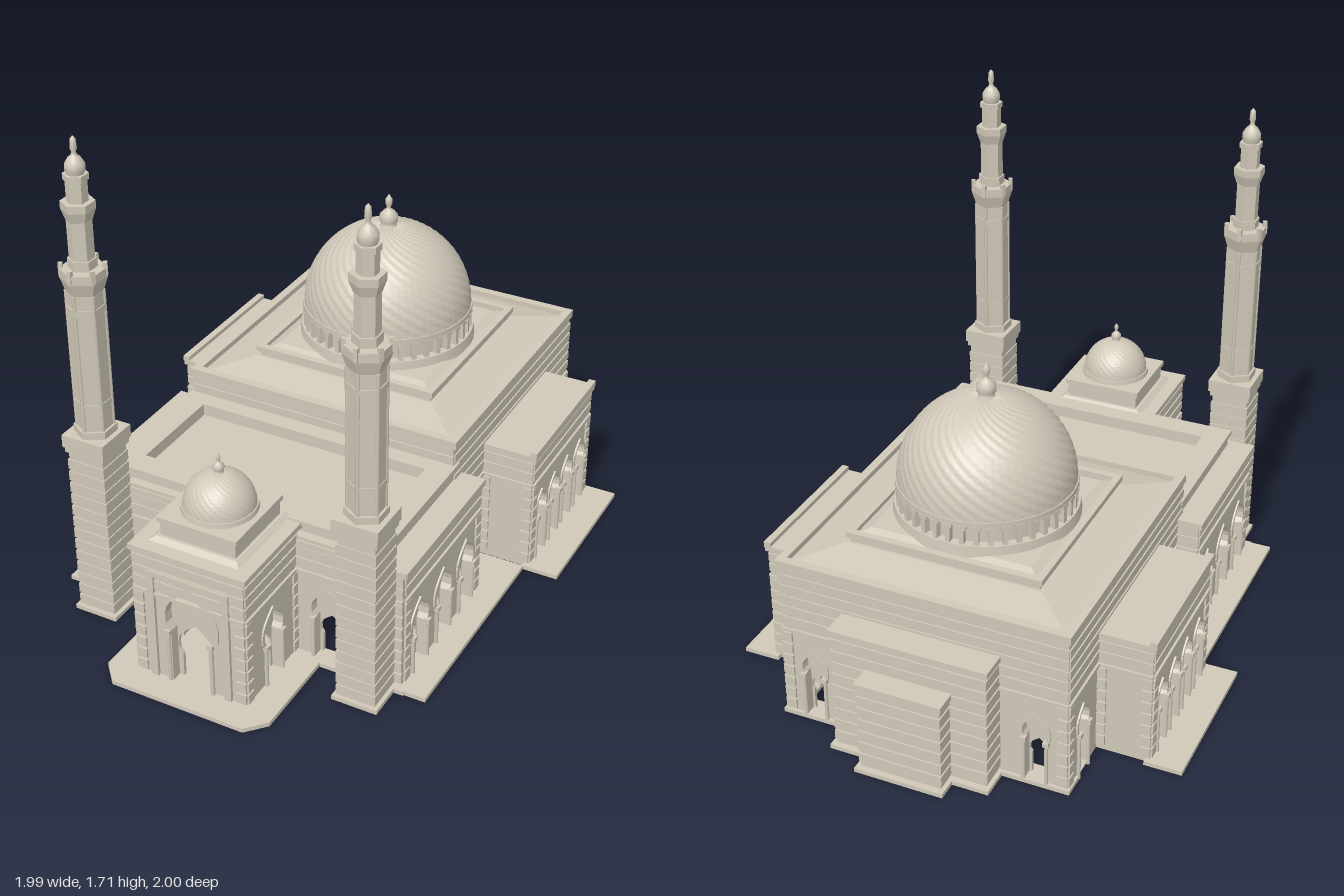
import * as THREE from 'three';

const stone = new THREE.MeshStandardMaterial({ color: 0xd0c8b8 });
stone.name = 'stone';

function add(parent, name, geo, x = 0, y = 0, z = 0, ry = 0) {
  const m = new THREE.Mesh(geo, stone);
  m.name = name;
  m.position.set(x, y, z);
  m.rotation.y = ry;
  parent.add(m);
  return m;
}

// box given by centre x/z and bottom/top heights
function block(parent, name, w, d, y0, y1, x = 0, z = 0) {
  return add(parent, name, new THREE.BoxGeometry(w, y1 - y0, d), x, (y0 + y1) / 2, z);
}

const flat = (g) => { const f = g.toNonIndexed(); f.computeVertexNormals(); return f; };
const prism = (rTop, rBottom, h, sides) => flat(new THREE.CylinderGeometry(rTop, rBottom, h, sides));
const lathe = (pts, seg) => new THREE.LatheGeometry(pts.map((p) => new THREE.Vector2(p[0], p[1])), seg);
const extrude = (s, depth) => new THREE.ExtrudeGeometry(s, { depth, bevelEnabled: false, curveSegments: 6 });

// keyhole arch outline: narrow legs, wider pointed head
function arch(path, x, w, h, y0 = 0.015) {
  const leg = w * 0.8, spring = h - w * 2;
  path.moveTo(x - leg, y0);
  path.lineTo(x + leg, y0);
  path.lineTo(x + leg, spring);
  path.lineTo(x + w, spring + w * 0.3);
  path.bezierCurveTo(x + w * 1.2, h - w * 0.75, x + w * 0.55, h - w * 0.4, x, h);
  path.bezierCurveTo(x - w * 0.55, h - w * 0.4, x - w * 1.2, h - w * 0.75, x - w, spring + w * 0.3);
  path.lineTo(x - leg, spring);
  path.closePath();
  return path;
}

// plain wall outline pierced by the openings, scaled by kw and kh
function pierced(w, h, openings, kw, kh) {
  const s = new THREE.Shape();
  s.moveTo(-w / 2, 0); s.lineTo(w / 2, 0); s.lineTo(w / 2, h); s.lineTo(-w / 2, h); s.closePath();
  for (const o of openings) s.holes.push(arch(new THREE.Path(), o.x, o.w * kw, o.h * kh));
  return s;
}

// wall with arched niches and doorways, courses and quoins; its outer face looks along local +z
function wall(parent, name, w, h, openings, x, z, ry, quoin = 0.035) {
  const g = new THREE.Group();
  g.name = name;
  g.position.set(x, 0, z);
  g.rotation.y = ry;
  parent.add(g);
  for (const o of openings) {
    // raised moulding around the arch
    const ring = arch(new THREE.Shape(), o.x, o.w * 1.22, o.h + o.w * 0.25, 0.01);
    ring.holes.push(arch(new THREE.Path(), o.x, o.w, o.h));
    add(g, 'archMoulding', extrude(ring, 0.006));
    for (const sx of [-1, 1]) {
      const spring = o.h - o.w * 2, cx = o.x + sx * o.w * 0.92;
      add(g, 'archColumn', new THREE.CylinderGeometry(0.006, 0.007, spring, 8), cx, spring / 2, 0.006);
      block(g, 'columnCapital', 0.02, 0.02, spring - 0.012, spring + 0.004, cx, 0.006);
    }
  }
  add(g, 'wallFace', extrude(pierced(w, h, openings, 1, 1), 0.03), 0, 0, -0.03);
  // back layer with a lower doorway inside each niche
  if (openings.length) add(g, 'innerDoorways', extrude(pierced(w - 0.06, h - 0.04, openings, 0.75, 0.6), 0.012), 0, 0, -0.042);
  block(g, 'panelLedge', w, 0.016, 0.33, 0.342, 0, 0);
  for (let y = 0.358; y < h - 0.03; y += 0.04) block(g, 'stoneCourse', w, 0.01, y, y + 0.03, 0, 0);
  for (let y = 0.02; y < 0.31; y += 0.045)
    for (const sx of [-1, 1]) block(g, 'quoin', quoin, 0.014, y, y + 0.036, sx * (w - quoin) / 2, 0);
}

// horizontal rectangular frame
function frame(parent, name, w, d, rim, y0, y1, z) {
  for (const s of [-1, 1]) {
    block(parent, name, w, rim, y0, y1, 0, z + s * (d - rim) / 2);
    block(parent, name, rim, d - 2 * rim, y0, y1, s * (w - rim) / 2, z);
  }
}

// four-sided sloping roof
function slope(parent, name, bottom, top, y0, y1, z) {
  const k = Math.SQRT2;
  add(parent, name, prism(top * k, bottom * k, y1 - y0, 4).rotateY(Math.PI / 4), 0, (y0 + y1) / 2, z);
}

const row = (n, step, w, h) => Array.from({ length: n }, (_, i) => ({ x: (i - (n - 1) / 2) * step, w, h }));

function minaret(parent, x, z) {
  const g = new THREE.Group();
  g.name = 'minaret';
  g.position.set(x, 0, z);
  parent.add(g);
  block(g, 'minaretFoot', 0.16, 0.16, 0, 0.015);
  block(g, 'minaretBase', 0.13, 0.13, 0, 0.64);
  for (let y = 0.02; y < 0.6; y += 0.045) block(g, 'baseCourse', 0.138, 0.138, y, y + 0.036);
  block(g, 'baseCornice', 0.146, 0.146, 0.625, 0.645);
  block(g, 'baseCap', 0.157, 0.157, 0.645, 0.69);
  add(g, 'lowerShaft', prism(0.06, 0.06, 0.58, 6), 0, 0.97, 0);
  // corner ribs and posts of the hexagonal shaft
  for (let i = 0; i < 6; i++) {
    const a = i * Math.PI / 3;
    add(g, 'shaftRib', new THREE.CylinderGeometry(0.007, 0.007, 0.5, 6), Math.sin(a) * 0.057, 0.95, Math.cos(a) * 0.057);
    add(g, 'balconyPost', new THREE.BoxGeometry(0.014, 0.045, 0.014), Math.sin(a) * 0.068, 1.27, Math.cos(a) * 0.068, a);
  }
  // [bottom, top, lower radius, upper radius]
  const tiers = [[0.69, 0.715, 0.07, 0.07], [0.8, 0.815, 0.063, 0.063], [1.13, 1.15, 0.064, 0.064],
    [1.2, 1.245, 0.06, 0.075], [1.245, 1.275, 0.075, 0.075], [1.27, 1.47, 0.04, 0.04], [1.28, 1.31, 0.046, 0.046],
    [1.44, 1.475, 0.042, 0.054], [1.475, 1.5, 0.054, 0.054], [1.5, 1.58, 0.034, 0.034], [1.57, 1.59, 0.04, 0.04]];
  for (const [y0, y1, r0, r1] of tiers) add(g, 'minaretTier', prism(r1, r0, y1 - y0, 6), 0, (y0 + y1) / 2, 0);
  add(g, 'minaretFinial', lathe([[0.026, 1.585], [0.032, 1.605], [0.031, 1.622], [0.02, 1.64], [0.01, 1.648],
    [0.007, 1.658], [0.011, 1.67], [0.01, 1.685], [0.009, 1.7], [0, 1.71]], 14));
}

function finial(parent, r, y0, y1, z) {
  const h = y1 - y0;
  add(parent, 'domeFinial', lathe([[r * 1.2, 0], [r * 0.75, h * 0.1], [r, h * 0.2], [r, h * 0.38], [r * 0.6, h * 0.5],
    [r * 0.25, h * 0.56], [r * 0.25, h * 0.64], [r * 0.38, h * 0.72], [r * 0.38, h * 0.85], [0, h]], 14), 0, y0, z);
}

// dome covered in small raised scales
function scaledDome(r, cols, rows) {
  const g = new THREE.SphereGeometry(r, cols, rows, 0, Math.PI * 2, 0, Math.PI / 2);
  const p = g.attributes.position;
  for (let j = 1; j < rows; j++) for (let i = 0; i <= cols; i++) {
    const k = j * (cols + 1) + i, f = (i + j) % 2 ? 1 : 0.994;
    p.setXYZ(k, p.getX(k) * f, p.getY(k) * f, p.getZ(k) * f);
  }
  return flat(g);
}

export function createModel() {
  const model = new THREE.Group();
  model.name = 'domedBuilding';
  const b = new THREE.Group();
  b.name = 'building';
  b.rotation.y = -0.69;
  b.position.set(-0.019, 0, -0.011);
  model.add(b);
  const P = Math.PI, hz = -0.338;

  // great hall
  wall(b, 'hallBackWall', 1.0, 0.58, [{ x: -0.39, w: 0.042, h: 0.26 }, { x: 0.39, w: 0.042, h: 0.26 }], 0, -0.837, P);
  block(b, 'hallFrontWall', 1.0, 0.03, 0.44, 0.58, 0, 0.15);
  for (let y = 0.52; y < 0.57; y += 0.03) block(b, 'hallFrontCourse', 1.0, 0.01, y, y + 0.022, 0, 0.166);
  for (const s of [-1, 1]) {
    wall(b, 'hallSideWall', 1.0, 0.58, [{ x: -0.385, w: 0.042, h: 0.26 }, { x: 0.385, w: 0.042, h: 0.26 }], s * 0.5, hz, s * P / 2);
  }
  frame(b, 'hallCornice', 1.015, 1.015, 0.03, 0.572, 0.6, hz);
  block(b, 'hallRoof', 0.98, 0.98, 0.56, 0.58, 0, hz);
  slope(b, 'hallRoofSlope', 0.48, 0.34, 0.58, 0.612, hz);
  block(b, 'domeTier', 0.66, 0.66, 0.6, 0.635, 0, hz);
  frame(b, 'domeTierRim', 0.68, 0.68, 0.025, 0.63, 0.65, hz);
  slope(b, 'domeTierSlope', 0.315, 0.28, 0.634, 0.65, hz);

  // great dome on its colonnaded drum
  add(b, 'drumFoot', new THREE.CylinderGeometry(0.305, 0.31, 0.04, 48), 0, 0.66, hz);
  add(b, 'drumCore', new THREE.CylinderGeometry(0.275, 0.275, 0.1, 48), 0, 0.71, hz);
  for (let i = 0; i < 40; i++) {
    const a = i * P / 20, x = Math.sin(a), z = Math.cos(a);
    add(b, 'drumColumn', new THREE.BoxGeometry(0.016, 0.07, 0.022), x * 0.287, 0.71, hz + z * 0.287, a);
    add(b, 'drumCapital', new THREE.BoxGeometry(0.03, 0.014, 0.024), x * 0.288, 0.74, hz + z * 0.288, a);
  }
  add(b, 'drumRing', new THREE.CylinderGeometry(0.299, 0.299, 0.018, 48), 0, 0.754, hz);
  add(b, 'greatDome', scaledDome(0.295, 64, 24), 0, 0.76, hz);
  finial(b, 0.032, 1.045, 1.17, hz);

  // stepped rear projections
  for (const [half, z, h] of [[0.265, -0.93, 0.46], [0.14, -1.0, 0.34]]) {
    block(b, 'rearPlinth', half * 2 + 0.03, 0.1, 0, 0.015, 0, z + 0.028);
    block(b, 'rearBlock', half * 2, -0.82 - z, 0, h, 0, (z - 0.82) / 2);
    for (let y = 0.03; y < h - 0.04; y += 0.045) block(b, 'rearCourse', half * 2 + 0.01, -0.82 - z, y, y + 0.036, 0, (z - 0.83) / 2);
    block(b, 'rearCornice', half * 2 + 0.02, -0.82 - z, h - 0.02, h, 0, (z - 0.84) / 2);
  }
  block(b, 'hallRearPlinth', 1.02, 0.08, 0, 0.015, 0, -0.81);

  for (const s of [-1, 1]) {
    // side wings
    wall(b, 'wingArcade', 0.52, 0.45, row(4, 0.117, 0.042, 0.27), s * 0.685, -0.34, s * P / 2);
    wall(b, 'wingRearReturn', 0.19, 0.45, [], s * 0.59, -0.6, P);
    wall(b, 'wingFrontReturn', 0.19, 0.45, [], s * 0.59, -0.08, 0);
    block(b, 'wingRoof', 0.2, 0.54, 0.44, 0.46, s * 0.595, -0.34);
    block(b, 'wingParapet', 0.025, 0.54, 0.455, 0.475, s * 0.685, -0.34);
    block(b, 'wingPlinth', 0.13, 0.56, 0, 0.015, s * 0.735, -0.34);
    // aisles beside the front hall
    wall(b, 'aisleArcade', 0.56, 0.44, row(3, 0.172, 0.056, 0.27), s * 0.58, 0.4, s * P / 2);
    wall(b, 'aisleReturn', 0.09, 0.44, [], s * 0.535, 0.12, P, 0.02);
    block(b, 'aisleRoof', 0.12, 0.58, 0.43, 0.452, s * 0.533, 0.4);
    block(b, 'aislePlinth', 0.205, 0.778, 0, 0.015, s * 0.5725, 0.329);
    minaret(b, s * 0.487, 0.761);
  }

  // front hall with sunken roof
  wall(b, 'frontWall', 1.16, 0.44, [{ x: -0.315, w: 0.055, h: 0.28 }, { x: 0, w: 0.075, h: 0.34 }, { x: 0.315, w: 0.055, h: 0.28 }], 0, 0.69, 0);
  block(b, 'frontCornice', 1.18, 0.05, 0.43, 0.452, 0, 0.67);
  block(b, 'frontPlinth', 1.2, 0.045, 0, 0.015, 0, 0.7);
  block(b, 'frontHallRoof', 0.86, 0.54, 0.425, 0.465, 0, 0.42);
  frame(b, 'frontHallParapet', 1.0, 0.51, 0.075, 0.45, 0.5, 0.405);
  frame(b, 'frontHallCoping', 1.02, 0.53, 0.085, 0.492, 0.508, 0.405);

  // entrance porch
  const pz = 0.805, plan = new THREE.Shape();
  [[-0.3, -0.67], [-0.3, -1.04], [-0.24, -1.105], [0.24, -1.105], [0.3, -1.04], [0.3, -0.67]]
    .forEach(([x, y], i) => (i ? plan.lineTo(x, y) : plan.moveTo(x, y)));
  add(b, 'porchPlinth', extrude(plan, 0.015).rotateX(-P / 2));
  wall(b, 'porchFront', 0.4, 0.49, [{ x: 0, w: 0.085, h: 0.38 }], 0, 1.005, 0);
  for (const s of [-1, 1]) {
    wall(b, 'porchSide', 0.325, 0.49, [{ x: 0, w: 0.055, h: 0.28 }], s * 0.2, 0.8425, s * P / 2);
    // raised surround of the portal
    block(b, 'portalJamb', 0.025, 0.02, 0, 0.42, s * 0.135, 1.006);
  }
  block(b, 'portalLintel', 0.295, 0.02, 0.405, 0.425, 0, 1.006);
  block(b, 'porchRoof', 0.4, 0.4, 0.47, 0.49, 0, pz);
  frame(b, 'porchCornice', 0.42, 0.42, 0.05, 0.482, 0.502, pz);
  slope(b, 'porchRoofSlope', 0.18, 0.145, 0.49, 0.515, pz);
  block(b, 'porchTier', 0.27, 0.27, 0.49, 0.57, 0, pz);
  block(b, 'porchTierCornice', 0.285, 0.285, 0.565, 0.582, 0, pz);
  add(b, 'porchDrum', new THREE.CylinderGeometry(0.121, 0.124, 0.02, 40), 0, 0.588, pz);
  add(b, 'porchDome', scaledDome(0.117, 48, 16), 0, 0.594, pz);
  finial(b, 0.018, 0.705, 0.78, pz);
  return model;
}
